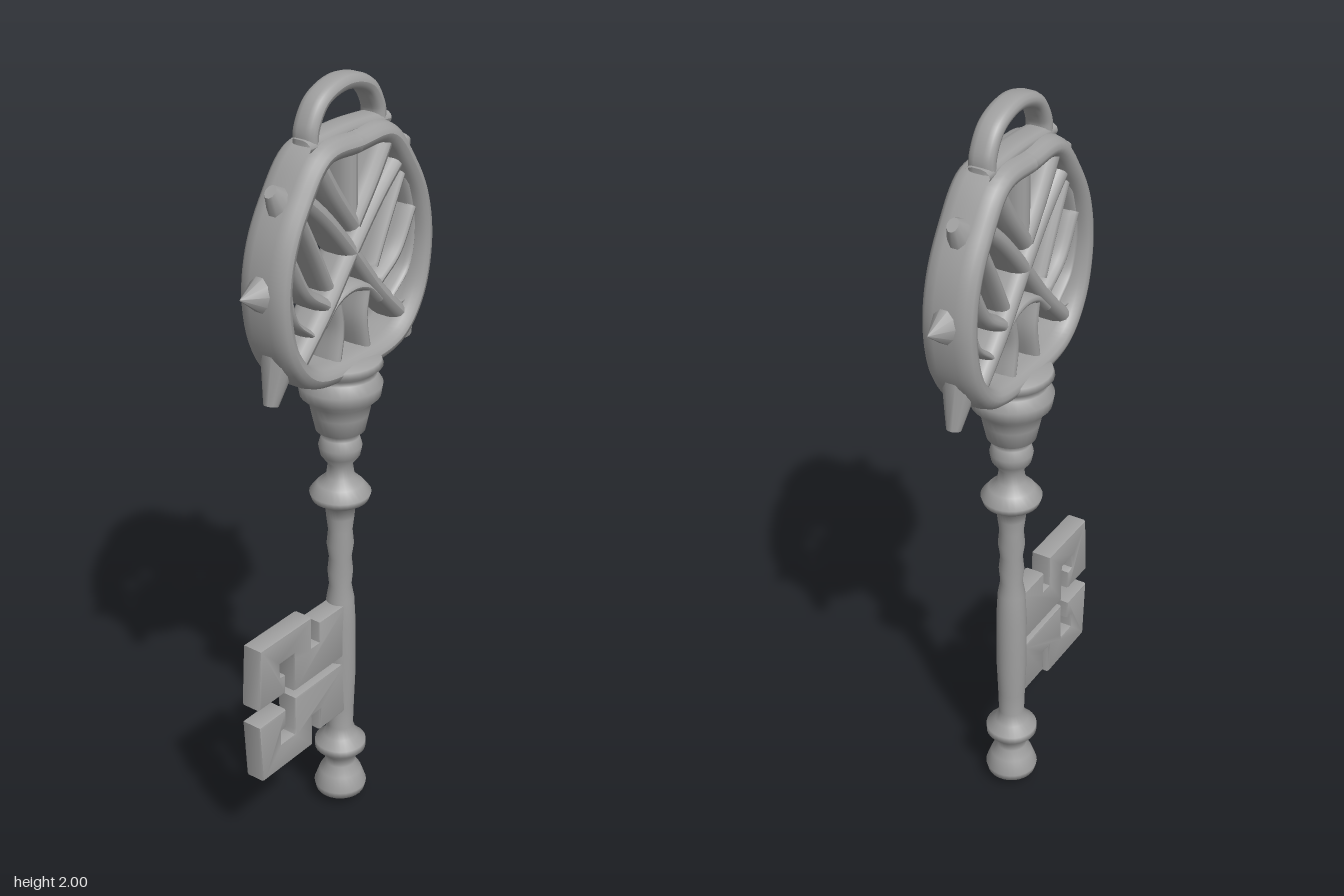
import * as THREE from 'three';
import { toCreasedNormals } from 'three/addons/utils/BufferGeometryUtils.js';

export function createModel() {
  const key = new THREE.Group();
  key.name = 'ornateKey';
  const metal = new THREE.MeshStandardMaterial({ color: 0xa0a0a0 });
  metal.name = 'greyMetal';

  const add = (name, geometry) => {
    const mesh = new THREE.Mesh(geometry, metal);
    mesh.name = name;
    key.add(mesh);
    return mesh;
  };
  const v = ([x, y, z = 0]) => new THREE.Vector3(x, y, z);

  // Planar tube whose section is stretched to a soft-edged band of the given half depth
  const band = (name, points, radius, depth, closed = false, square = 0.7) => {
    const curve = new THREE.CatmullRomCurve3(points.map(v), closed, 'centripetal');
    const geo = new THREE.TubeGeometry(curve, points.length * 8, radius, 14, closed);
    const p = geo.attributes.position;
    for (let i = 0; i < p.count; i++) {
      const t = p.getZ(i) / radius;
      p.setZ(i, Math.sign(t) * Math.pow(Math.min(1, Math.abs(t)), square) * depth);
    }
    geo.computeVertexNormals();
    return add(name, geo);
  };

  // Tapered stud reaching from a to b
  const stud = (name, a, b, r0, r1, depth) => {
    const from = v(a), dir = v(b).sub(from);
    const geo = new THREE.CylinderGeometry(r1, r0, dir.length(), 10);
    geo.scale(1, 1, depth / r0);
    const mesh = add(name, geo);
    mesh.position.copy(from).addScaledVector(dir, 0.5);
    mesh.quaternion.setFromUnitVectors(new THREE.Vector3(0, 1, 0), dir.normalize());
  };

  // Turned shaft with tip knobs, collars and the flared cup under the bow
  const profile = [
    [0, 0], [0.035, 0.01], [0.065, 0.03], [0.07, 0.05], [0.056, 0.09], [0.04, 0.115],
    [0.042, 0.14], [0.068, 0.165], [0.068, 0.185], [0.045, 0.205], [0.034, 0.235],
    [0.036, 0.3], [0.04, 0.4], [0.04, 0.55], [0.036, 0.63], [0.029, 0.67], [0.033, 0.71],
    [0.029, 0.75], [0.035, 0.79], [0.031, 0.83], [0.036, 0.87], [0.038, 0.9],
    [0.072, 0.922], [0.078, 0.94], [0.058, 0.965], [0.036, 0.985], [0.031, 1.02],
    [0.05, 1.045], [0.055, 1.07], [0.048, 1.095], [0.04, 1.105], [0.062, 1.115],
    [0.072, 1.16], [0.078, 1.19], [0.1, 1.21], [0.105, 1.24], [0.09, 1.265],
    [0.085, 1.275], [0.105, 1.29], [0.1, 1.305], [0.06, 1.315], [0, 1.32]
  ].map(([r, y]) => new THREE.Vector2(r, y));
  add('shaft', new THREE.LatheGeometry(profile, 28));

  // Bow rim
  const half = [[0.12, 1.84], [0.2, 1.75], [0.252, 1.65], [0.27, 1.53], [0.24, 1.4], [0.165, 1.32]];
  const mirrored = half.map(([x, y]) => [-x, y]).reverse();
  band('bowRim', [[0, 1.845], ...half, [0, 1.3], ...mirrored], 0.029, 0.068, true, 0.6);

  // Bow lattice and outer studs, the same on both sides
  for (const s of [-1, 1]) {
    const m = (pts) => pts.map(([x, y]) => [x * s, y]);
    band('latticeCrossBar', m([[-0.19, 1.77], [-0.1, 1.69], [0, 1.58], [0.1, 1.46], [0.2, 1.36]]), 0.025, 0.05);
    band('latticeUpperBar', m([[0.13, 1.83], [0.07, 1.74], [0, 1.65]]), 0.027, 0.055);
    band('latticeSideBar', m([[0.2, 1.74], [0.13, 1.61], [0.085, 1.52]]), 0.018, 0.045);
    band('latticeLowerBar', m([[0.1, 1.48], [0.17, 1.53], [0.23, 1.63]]), 0.02, 0.05);
    band('latticeEdgeBar', m([[0.2, 1.72], [0.235, 1.58], [0.215, 1.48], [0.15, 1.42]]), 0.012, 0.045);
    band('archLeg', m([[0.06, 1.31], [0.045, 1.4], [0.055, 1.47]]), 0.018, 0.045);
    stud('sideSpike', [0.27 * s, 1.56], [0.36 * s, 1.57], 0.06, 0.002, 0.045);
    stud('upperStud', [0.2 * s, 1.735], [0.25 * s, 1.79], 0.05, 0.018, 0.04);
    stud('lowerStud', [0.225 * s, 1.4], [0.262 * s, 1.275], 0.052, 0.02, 0.045);
  }
  band('innerArch', [[-0.11, 1.43], [-0.06, 1.475], [0, 1.49], [0.06, 1.475], [0.11, 1.43]], 0.016, 0.045);
  band('topPost', [[0, 1.85], [0, 1.78], [0, 1.65]], 0.028, 0.045);

  // Hanging loop
  band('hangingLoop', [[-0.125, 1.865], [-0.122, 1.9], [-0.085, 1.955], [0, 1.98],
    [0.085, 1.955], [0.122, 1.9], [0.125, 1.865]], 0.02, 0.033);
  band('loopBar', [[-0.15, 1.865], [0, 1.873], [0.15, 1.865]], 0.018, 0.034);

  // Key bit: two mirrored hooked wards
  const mid = 0.4575;
  const ward = [[-0.02, 0.475], [-0.215, 0.475], [-0.215, 0.565], [-0.22, 0.585], [-0.285, 0.585],
    [-0.285, 0.535], [-0.265, 0.53], [-0.265, 0.49], [-0.355, 0.49], [-0.345, 0.645],
    [-0.16, 0.645], [-0.16, 0.555], [-0.115, 0.555], [-0.115, 0.615], [-0.02, 0.615]];
  for (const flip of [1, -1]) {
    const shape = new THREE.Shape(ward.map(([x, y]) => new THREE.Vector2(x, mid + (y - mid) * flip)));
    const geo = new THREE.ExtrudeGeometry(shape, {
      depth: 0.044, bevelEnabled: true, bevelSize: 0.007, bevelThickness: 0.007, bevelSegments: 2
    });
    geo.translate(0, 0, -0.022);
    add(flip > 0 ? 'upperWard' : 'lowerWard', toCreasedNormals(geo, 0.7));
  }
  return key;
}
